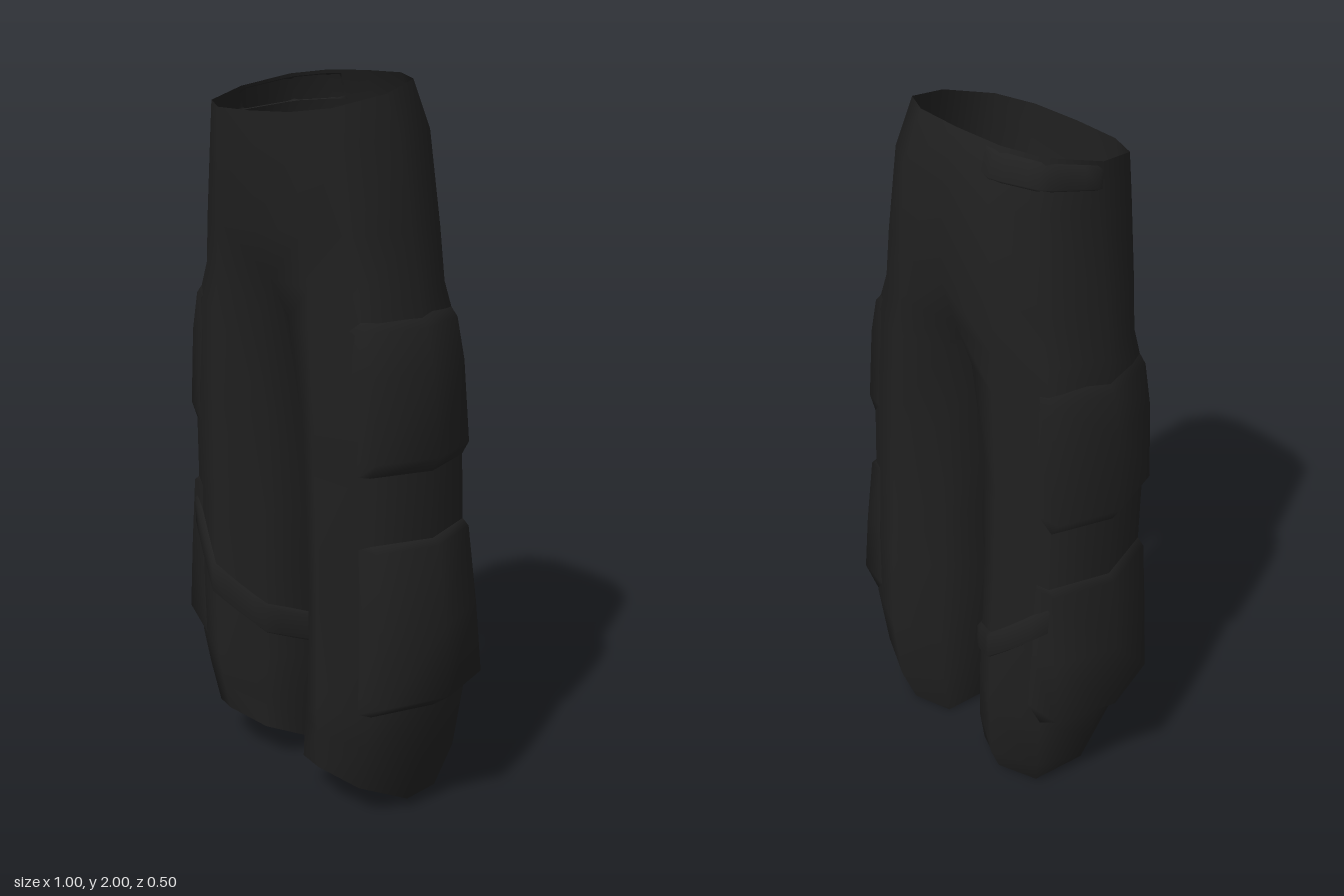
import * as THREE from 'three';
import { mergeGeometries, mergeVertices } from 'three/addons/utils/BufferGeometryUtils.js';

// Half-trouser sections from hem to waist:
// y, inner x, outer x, front z, back z, tilt, curve, fullness of the inner corners
const ROWS = [
  [0.03, 0.05, 0.36, 0.20, -0.19, 0.33, 1.0, 0.76],
  [0.19, 0.03, 0.405, 0.215, -0.23, 0.3, 0, 0.69],
  [0.34, 0.018, 0.435, 0.225, -0.247, 0, 0, 0.64],
  [0.60, 0.013, 0.44, 0.225, -0.235, 0, 0, 0.62],
  [0.80, 0.010, 0.435, 0.225, -0.222, 0, 0, 0.62],
  [1.10, 0.006, 0.43, 0.228, -0.21, 0, 0, 0.64],
  [1.38, 0.004, 0.396, 0.23, -0.202, 0, 0, 0.74],
  [1.48, 0, 0.38, 0.232, -0.2, 0, 0, 0.8],
  [1.62, 0, 0.357, 0.24, -0.2, 0, 0, 1],
  [1.85, 0, 0.316, 0.25, -0.19, -0.1, 0, 1],
  [1.9675, 0, 0.292, 0.25, -0.14, -0.23, 0, 1],
];
const CROTCH = 7; // first section where both halves meet

// Corner of a section; 0 is outside, 2 front, 4 inside, 6 back
function corner(r, u, side) {
  const [y, xi, xo, zf, zb, tilt, curve, full] = ROWS[r];
  const k = ((u % 8) + 8) % 8, m = k > 4 ? 8 - k : k, sz = k > 4 ? -1 : 1;
  const zc = (zf + zb) / 2, hz = (zf - zb) / 2;
  let x, z;
  if (r < CROTCH) {
    x = (xi + xo) / 2 + [1, 0.74, 0, -full, -1][m] * (xo - xi) / 2;
    z = zc + sz * hz * [0, 0.75, 1, full + 0.02, 0][m];
  } else {
    x = xo * [1, 0.84, 0.5, 0, 0][m];
    z = zc + sz * hz * [0, 0.69, 0.95, full, 0][m];
  }
  const lift = r === 0 && side < 0 ? 0.02 : 0;
  return new THREE.Vector3(x, y + tilt * z + curve * z * z + lift, z);
}

// Any point on the cloth between the corners
function surface(v, u) {
  const r = Math.min(Math.floor(v), ROWS.length - 2), k = Math.floor(u);
  const edge = (row) => corner(row, k, 1).lerp(corner(row, k + 1, 1), u - k);
  return edge(r).lerp(edge(r + 1), v - r);
}
function levelAt(y) {
  let r = 0;
  while (r < ROWS.length - 2 && ROWS[r + 1][0] <= y) r++;
  return r + (y - ROWS[r][0]) / (ROWS[r + 1][0] - ROWS[r][0]);
}

// Skin a grid of points; side -1 mirrors it to the right
function sheet(rows, cols, side, point, skip = () => false) {
  const pos = [], index = [];
  for (let i = 0; i < rows; i++) for (let j = 0; j < cols; j++) {
    const p = point(i, j);
    pos.push(p.x * side, p.y, p.z);
    if (i === rows - 1 || j === cols - 1 || skip(i, j)) continue;
    const a = i * cols + j, b = a + 1, c = a + cols, d = c + 1;
    if (side > 0) index.push(a, c, b, b, c, d);
    else index.push(a, b, c, b, d, c);
  }
  const g = new THREE.BufferGeometry();
  g.setAttribute('position', new THREE.Float32BufferAttribute(pos, 3));
  g.setIndex(index);
  return g;
}

export function createModel() {
  const group = new THREE.Group();
  const cloth = new THREE.MeshStandardMaterial({ color: 0x202020, side: THREE.DoubleSide });
  cloth.name = 'black cloth';
  const add = (name, geometry) => {
    const g = mergeVertices(geometry, 1e-4);
    g.computeVertexNormals();
    const mesh = new THREE.Mesh(g, cloth);
    mesh.name = name;
    group.add(mesh);
  };

  // Legs and hips in one skin, open at the waist
  const half = (side) => sheet(ROWS.length, 9, side, (i, j) => corner(i, j, side),
    (i, j) => i >= CROTCH && (j === 3 || j === 4));
  add('trousers', mergeGeometries([half(1), half(-1)]));

  // Slanted panels closing the hems
  for (const side of [1, -1]) {
    const centre = corner(0, 2, side).lerp(corner(0, 6, side), 0.5);
    centre.y -= 0.02;
    add(side > 0 ? 'leftHemPanel' : 'rightHemPanel',
      sheet(2, 9, side, (i, j) => (i ? corner(0, j, side) : centre)));
  }

  // Bulging cargo pockets blending into the outside of each leg: height, bulge
  const pockets = {
    ThighPocket: [[1.42, -0.004], [1.39, 0.014], [1.28, 0.026], [1.06, 0.026], [1.01, -0.006]],
    CalfPocket: [[0.84, -0.006], [0.82, 0.022], [0.6, 0.043], [0.4, 0.064], [0.345, -0.006]],
  };
  const across = [-1.25, -1, 0, 1, 1.25];
  for (const [name, profile] of Object.entries(pockets)) {
    const rows = [...profile].reverse();
    for (const side of [1, -1]) {
      add((side > 0 ? 'left' : 'right') + name, sheet(rows.length, across.length, side, (i, j) => {
        const [y, bulge] = rows[i];
        const p = surface(levelAt(y), across[j]);
        const end = j === 0 || j === across.length - 1;
        p.x += end ? -0.003 : bulge;
        return p;
      }));
    }
  }

  // Slanted strap around the right leg, its ends tucked under the pocket
  const band = [[-0.048, -0.004], [-0.036, 0.013], [0.036, 0.013], [0.048, -0.004]];
  add('legStrap', sheet(band.length, 27, -1, (i, j) => {
    const u = 0.75 + j * 0.25;
    const x = surface(levelAt(0.55), u).x;
    const p = surface(levelAt(0.41 + 0.55 * x + 0.75 * x * x + band[i][0]), u);
    const out = new THREE.Vector3(p.x - 0.22, 0, p.z).normalize();
    return p.addScaledVector(out, band[i][1]);
  }));

  // Raised waist tab around the back right
  const tab = [[9.4, -0.003], [9.48, 0.012], [9.84, 0.012], [9.93, -0.003]];
  add('waistTab', sheet(tab.length, 11, -1, (i, j) => {
    const p = surface(tab[i][0], 5.65 + j * 0.25);
    const out = new THREE.Vector3(p.x, 0, p.z - 0.04).normalize();
    return p.addScaledVector(out, j === 0 || j === 10 ? -0.003 : tab[i][1]);
  }));

  return group;
}
